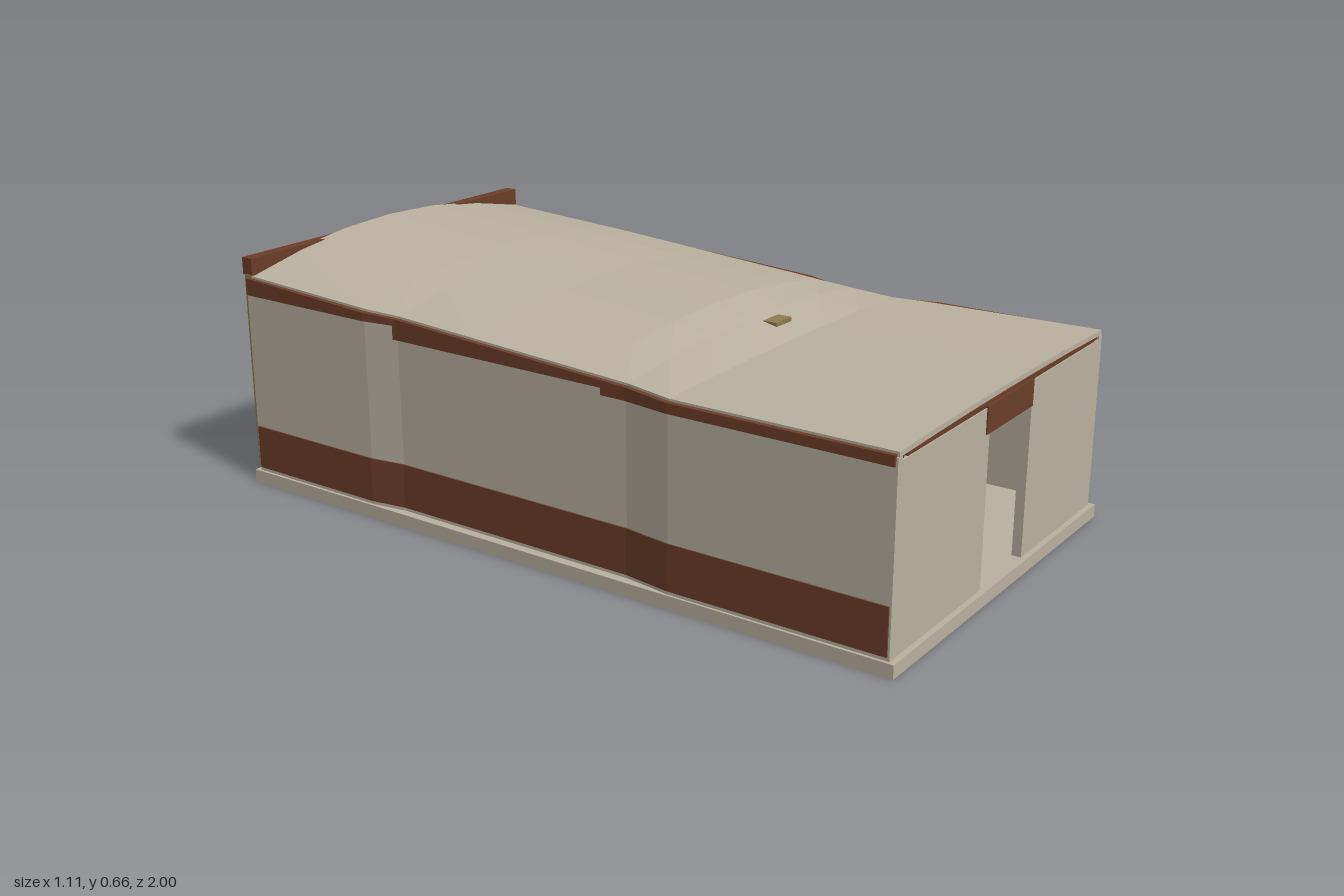
import * as THREE from 'three';

const mat = (name, color) => {
  const m = new THREE.MeshStandardMaterial({ color });
  m.name = name;
  return m;
};

// Linear interpolation in a list of [z, value] running from front to back
function at(path, z) {
  for (let i = 0; i < path.length - 1; i++) {
    const [z0, v0] = path[i], [z1, v1] = path[i + 1];
    if (z >= z1) return v0 + (v1 - v0) * Math.max(0, (z0 - z) / (z0 - z1));
  }
  return path[path.length - 1][1];
}

// Closed solid through rings of points: bottom left to right, then top right to left
function loft(rings) {
  const n = rings[0].length, idx = [];
  const base = (rings.length - 1) * n;
  for (let r = 0; r < rings.length - 1; r++) {
    for (let j = 0; j < n; j++) {
      const a = r * n + j, b = r * n + (j + 1) % n;
      idx.push(a, a + n, b, b, a + n, b + n);
    }
  }
  for (let j = 0; j < n / 2 - 1; j++) {
    const q = [j, j + 1, n - 2 - j, n - 1 - j];
    idx.push(q[0], q[1], q[2], q[0], q[2], q[3]);
    idx.push(base + q[0], base + q[2], base + q[1], base + q[0], base + q[3], base + q[2]);
  }
  const g = new THREE.BufferGeometry();
  g.setAttribute('position', new THREE.Float32BufferAttribute(rings.flat(2), 3));
  g.setIndex(idx);
  const flat = g.toNonIndexed();
  flat.computeVertexNormals();
  return flat;
}

// Plan lines of the side walls and roof edges, and roof heights
const wallPlan = {
  left: [[0.985, 0.545], [0.52, 0.545], [0.4, 0.515], [0.2, 0.515], [0.12, 0.538], [-0.4, 0.54], [-0.55, 0.548], [-0.985, 0.548]],
  right: [[0.985, -0.548], [0.4, -0.55], [0.27, -0.532], [-0.45, -0.532], [-0.55, -0.548], [-0.985, -0.548]],
};
const roofPlan = {
  left: [[0.985, 0.54], [0.5, 0.52], [0.4, 0.505], [0.2, 0.507], [0.1, 0.515], [-0.3, 0.53], [-0.55, 0.54], [-0.98, 0.54]],
  right: [[0.985, -0.543], [0.4, -0.543], [0.27, -0.526], [-0.45, -0.526], [-0.55, -0.54], [-0.98, -0.543]],
};
const crown = [[0.985, 0.525], [0.4, 0.525], [0.16, 0.578], [-0.2, 0.6], [-0.55, 0.632], [-0.98, 0.66]];
const eave = [[0.985, 0.517], [0.4, 0.517], [-0.98, 0.592]];

export function createModel() {
  const model = new THREE.Group();
  model.name = 'pavilion';
  const plaster = mat('plaster', 0xbab19f);
  const brown = mat('brownCladding', 0x6b3e29);
  const tan = mat('tanFrame', 0x8f7a50);
  const glass = mat('darkGlass', 0x65584f);

  const add = (name, geo, material) => {
    const m = new THREE.Mesh(geo, material);
    m.name = name;
    model.add(m);
    return m;
  };
  const box = (name, material, x0, x1, y0, y1, z0, z1) =>
    add(name, new THREE.BoxGeometry(x1 - x0, y1 - y0, z1 - z0), material)
      .position.set((x0 + x1) / 2, (y0 + y1) / 2, (z0 + z1) / 2);

  // Strip of side wall following the plan line between two z positions
  const strip = (name, material, side, zFront, zBack, inset, outset, bottom, top) => {
    const path = wallPlan[side], s = side === 'left' ? 1 : -1;
    const zs = [zFront, zBack, 0.4, ...path.map(p => p[0])]
      .filter((z, i, all) => z <= zFront && z >= zBack && all.indexOf(z) === i)
      .sort((a, b) => b - a);
    add(name, loft(zs.map(z => {
      const x = at(path, z), xs = [x - s * inset, x + s * outset].sort((a, b) => a - b);
      const y = top(z);
      return [[xs[0], bottom, z], [xs[1], bottom, z], [xs[1], y, z], [xs[0], y, z]];
    })), material);
  };

  // Floor slab
  box('floorSlab', plaster, -0.556, 0.556, 0, 0.035, -1, 1);

  // Side walls in panels, with base cladding and stepped fascia
  const joints = { left: [0.985, 0.52, 0.12, -0.57, -0.985], right: [0.985, 0.36, -0.57, -0.985] };
  for (const side of ['left', 'right']) {
    const j = joints[side];
    for (let i = 0; i < j.length - 1; i++) {
      strip(side + 'WallPanel', plaster, side, j[i], j[i + 1], 0.02, 0, 0.035, z => at(eave, z) - 0.012);
      strip(side + 'BaseCladding', brown, side, Math.min(j[i], 0.98), Math.max(j[i + 1], -0.98), 0.01, 0.004, 0.045, () => 0.165);
    }
    for (const [z0, z1, y] of [[0.98, 0.2, 0.485], [0.2, -0.46, 0.503], [-0.46, -0.98, 0.54]]) {
      strip(side + 'Fascia', brown, side, z0, z1, 0.035, 0.007, y, z => at(eave, z) - 0.006);
    }
  }

  // Front wall, lintel, open door leaf and thin beam under the roof
  box('frontWallLeft', plaster, 0.125, 0.542, 0.035, 0.494, 0.96, 0.985);
  box('frontWallRight', plaster, -0.542, -0.125, 0.035, 0.494, 0.96, 0.985);
  box('doorLintel', brown, -0.125, 0.125, 0.43, 0.499, 0.96, 0.988);
  box('doorLeaf', plaster, -0.125, -0.105, 0.035, 0.43, 0.75, 0.985);
  box('frontBeam', brown, -0.5, 0.5, 0.494, 0.506, 0.955, 0.982);

  // Glazed back wall
  box('backSill', brown, -0.542, 0.542, 0.035, 0.11, -0.99, -0.965);
  box('backGlass', glass, -0.54, 0.54, 0.11, 0.595, -0.982, -0.974);
  box('backBeam', brown, -0.545, 0.545, 0.593, 0.64, -1, -0.965);
  for (const x of [-0.537, 0, 0.537]) {
    box('backPost', tan, x - 0.01, x + 0.01, x ? 0.045 : 0.11, 0.595, -0.992, -0.968);
  }

  // Curved roof shell
  const segments = 6, thickness = 0.013;
  const zs = [0.985, 0.5, 0.4, 0.27, 0.16, 0.1, -0.2, -0.45, -0.55, -0.98];
  add('roof', loft(zs.map(z => {
    const xr = at(roofPlan.right, z), xl = at(roofPlan.left, z);
    const e = at(eave, z), c = at(crown, z), topRow = [];
    for (let i = 0; i <= segments; i++) {
      const u = 2 * i / segments - 1;
      topRow.push([xr + (xl - xr) * i / segments, e + (c - e) * (1 - u * u), z]);
    }
    const bottomRow = topRow.map(([x, y]) => [x, y - thickness, z]);
    return [...bottomRow, ...topRow.reverse()];
  })), plaster);

  // Small vent on the roof slope
  box('roofVent', tan, 0.017, 0.088, 0.53, 0.549, 0.295, 0.335);

  return model;
}
